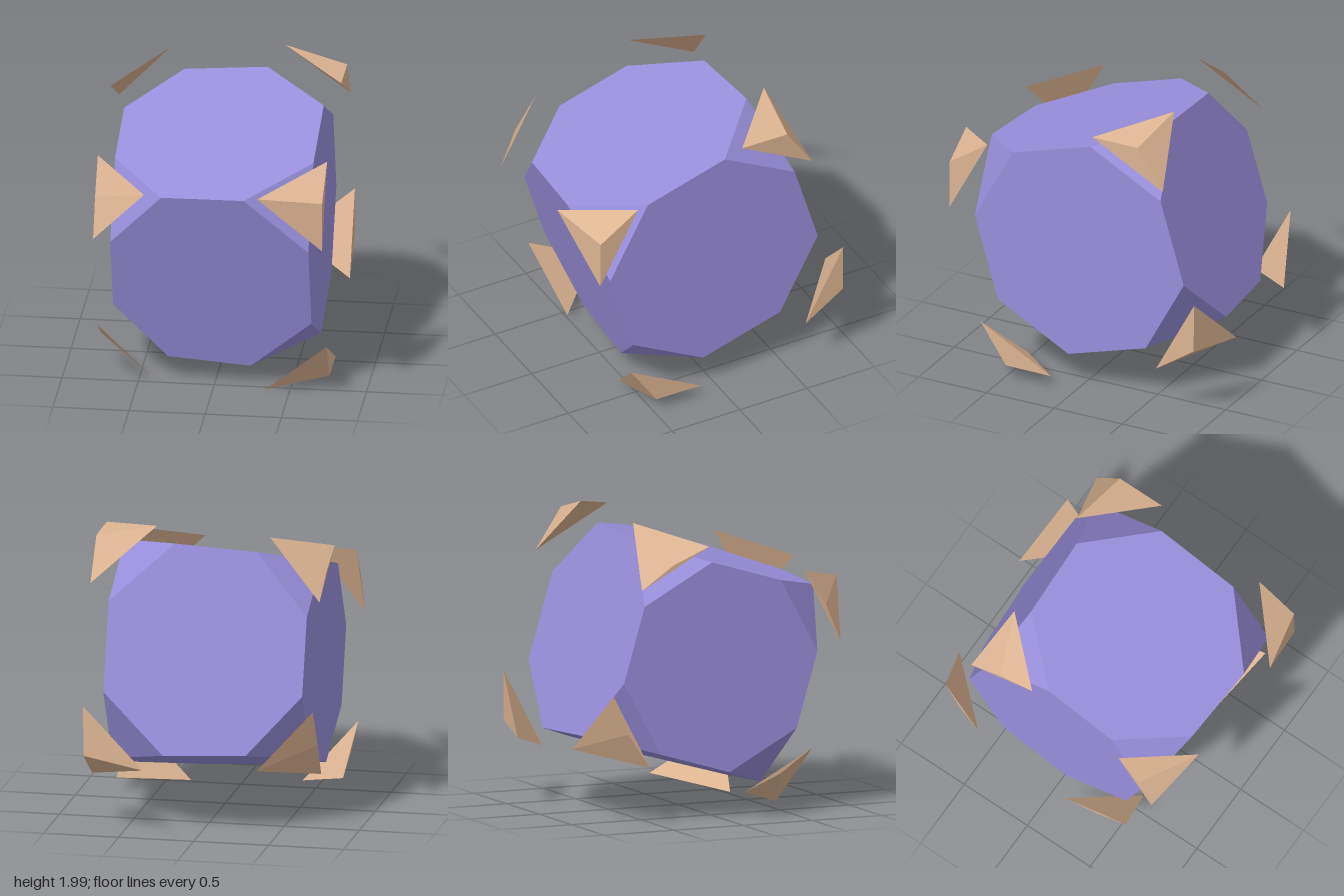
import * as THREE from 'three';
import { ConvexGeometry } from 'three/addons/geometries/ConvexGeometry.js';

const V = (x, y, z) => new THREE.Vector3(x, y, z);

export function createModel() {
  const model = new THREE.Group();
  model.name = 'explodedTruncatedCube';
  const tilted = new THREE.Group();
  tilted.name = 'tiltedSolid';
  tilted.rotation.x = 0.29;
  tilted.position.y = 1;
  model.add(tilted);

  const bodyMat = new THREE.MeshStandardMaterial({ color: 0x998edb, flatShading: true });
  const cornerMat = new THREE.MeshStandardMaterial({ color: 0xdcb492, flatShading: true });

  // Half width of the slightly tapered cube at a given x
  const half = (x) => 0.682 + 0.05 * x;

  // Each end: x of the end face, x where the cut meets the long edge,
  // half length of the remaining end edge, outward shift, height of the corner tip
  const ends = [
    { name: 'left', x: 0.65, cutX: 0.235, t: 0.298, shift: 0.106, tip: 0.722 },
    { name: 'right', x: -0.66, cutX: -0.31, t: 0.26, shift: 0.098, tip: 0.572 },
  ];

  const bodyPoints = [];
  for (const e of ends) {
    const sx = Math.sign(e.x);
    for (const sy of [1, -1]) for (const sz of [1, -1]) {
      // Triangle left by cutting off this corner
      const a = half(e.cutX), b = half(e.x);
      const cut = [
        V(e.cutX, sy * a, sz * a),
        V(e.x, sy * b, sz * e.t),
        V(e.x, sy * e.t, sz * b),
      ];
      bodyPoints.push(...cut);

      // Loose corner piece, moved outward along the diagonal
      const move = V(sx, sy, sz).multiplyScalar(e.shift);
      const points = cut.map((p) => p.clone().add(move));
      points.push(V(e.x + move.x, sy * e.tip, sz * e.tip));
      const corner = new THREE.Mesh(new ConvexGeometry(points), cornerMat);
      corner.name = `${e.name}${sy > 0 ? 'Upper' : 'Lower'}${sz > 0 ? 'Front' : 'Back'}Corner`;
      tilted.add(corner);
    }
  }

  // Cube with its eight corners cut off
  const body = new THREE.Mesh(new ConvexGeometry(bodyPoints), bodyMat);
  body.name = 'truncatedCube';
  tilted.add(body);

  return model;
}
